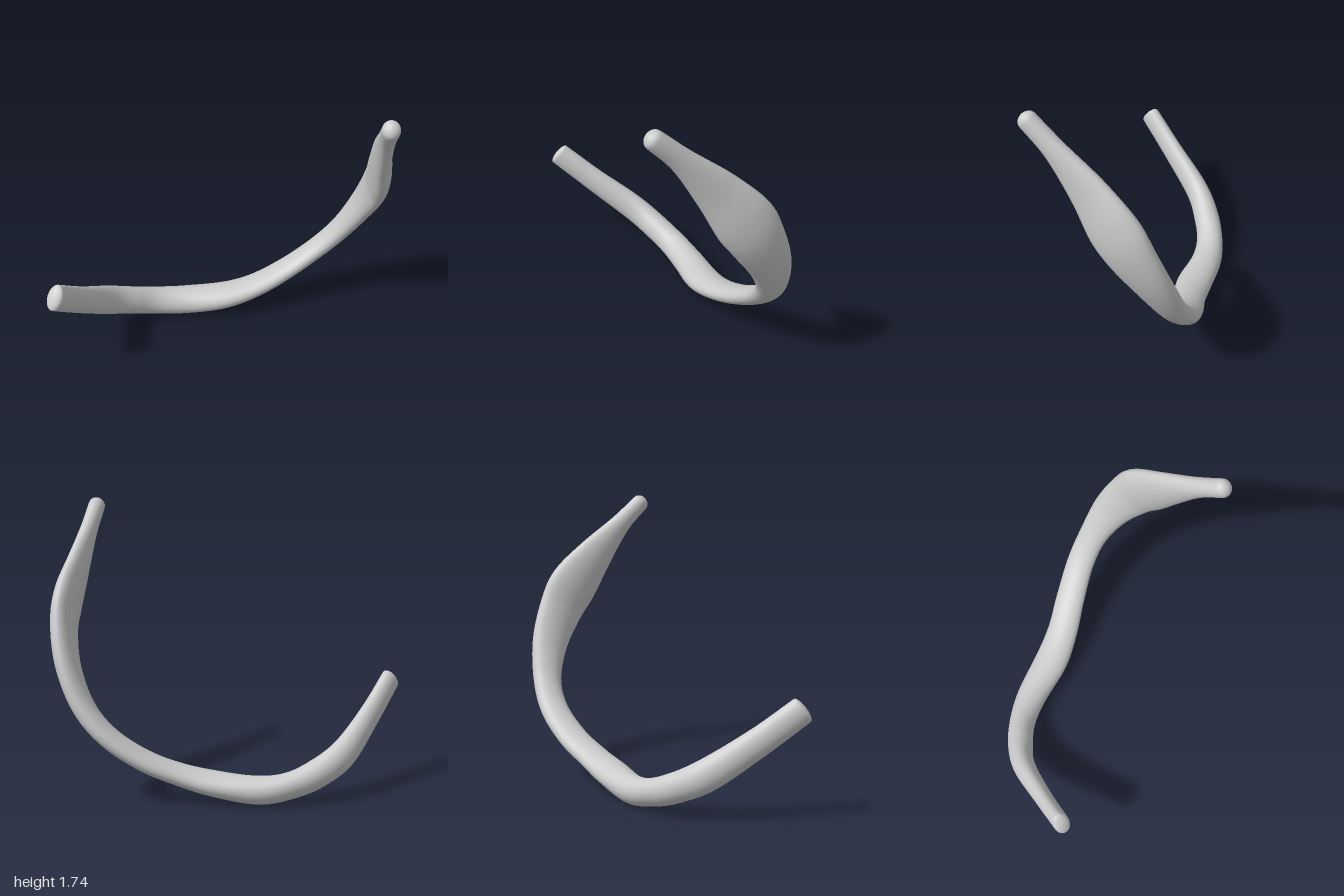
import * as THREE from 'three';

// Stations along the bone: centre, direction of the wide axis, half width / half thickness
const stations = [
  { c: [-0.95, 0.63, 0.44], w: [0, 1, 0], s: [0.078, 0.05] },
  { c: [-0.85, 0.455, 0.235], w: [0, 1, 0], s: [0.082, 0.055] },
  { c: [-0.72, 0.27, 0.0], w: [0, 1, 0], s: [0.092, 0.07] },
  { c: [-0.58, 0.172, -0.125], w: [0, 1, -0.3], s: [0.088, 0.08] },
  { c: [-0.43, 0.112, -0.205], w: [0, 0.6, -0.8], s: [0.088, 0.078] },
  { c: [-0.25, 0.086, -0.25], w: [0, 0.2, -1], s: [0.096, 0.084] },
  { c: [0, 0.113, -0.268], w: [0, 0, -1], s: [0.108, 0.073] },
  { c: [0.2, 0.167, -0.308], w: [0, 0, -1], s: [0.1, 0.062] },
  { c: [0.4, 0.258, -0.372], w: [0, 0, -1], s: [0.095, 0.058] },
  { c: [0.6, 0.4, -0.42], w: [0, 0, -1], s: [0.09, 0.058] },
  { c: [0.75, 0.57, -0.415], w: [0, 0.1, -1], s: [0.092, 0.063] },
  { c: [0.86, 0.79, -0.355], w: [0, 0.3, -1], s: [0.12, 0.067] },
  { c: [0.918, 1.0, -0.255], w: [0, 0.5, -0.85], s: [0.15, 0.07] },
  { c: [0.925, 1.16, -0.16], w: [0, 0.7, -0.7], s: [0.163, 0.07] },
  { c: [0.908, 1.35, -0.015], w: [0, 0.8, -0.6], s: [0.122, 0.058] },
  { c: [0.9, 1.55, 0.165], w: [0, 0.8, -0.6], s: [0.068, 0.05] },
  { c: [0.897, 1.69, 0.31], w: [0, 0.8, -0.6], s: [0.055, 0.051] },
];

const curveThrough = (pts) =>
  new THREE.CatmullRomCurve3(pts.map((p) => new THREE.Vector3(p[0], p[1], p[2] ?? 0)), false, 'catmullrom', 0.5);

function sweptBone() {
  const centre = curveThrough(stations.map((k) => k.c));
  const wide = curveThrough(stations.map((k) => k.w));
  const size = curveThrough(stations.map((k) => k.s));
  const steps = 128, sides = 36, capSteps = 6;

  // Ring list: rounded cap, shaft, rounded cap
  const rings = [];
  for (let i = 0; i <= capSteps; i++) {
    const a = (i / capSteps) * Math.PI / 2;
    rings.push({ t: 0, scale: Math.sin(a), shift: -0.025 * Math.cos(a) });
  }
  for (let i = 1; i < steps; i++) rings.push({ t: i / steps, scale: 1, shift: 0 });
  for (let i = 0; i <= capSteps; i++) {
    const a = (i / capSteps) * Math.PI / 2;
    rings.push({ t: 1, scale: Math.cos(a), shift: 0.045 * Math.sin(a) });
  }

  const positions = [], index = [];
  for (const { t, scale, shift } of rings) {
    const T = centre.getTangent(t);
    const W = wide.getPoint(t);
    W.addScaledVector(T, -W.dot(T)).normalize();
    const N = new THREE.Vector3().crossVectors(T, W);
    const c = centre.getPoint(t).addScaledVector(T, shift);
    const s = size.getPoint(t);
    const r = Math.max(scale, 0.002);
    for (let j = 0; j < sides; j++) {
      const a = (j / sides) * Math.PI * 2;
      const p = c.clone()
        .addScaledVector(W, Math.cos(a) * s.x * r)
        .addScaledVector(N, Math.sin(a) * s.y * r);
      positions.push(p.x, p.y, p.z);
    }
  }
  for (let i = 0; i < rings.length - 1; i++) {
    for (let j = 0; j < sides; j++) {
      const k = (j + 1) % sides;
      const a = i * sides + j, b = i * sides + k;
      index.push(a, b, a + sides, b, b + sides, a + sides);
    }
  }
  const geometry = new THREE.BufferGeometry();
  geometry.setAttribute('position', new THREE.Float32BufferAttribute(positions, 3));
  geometry.setIndex(index);
  geometry.computeVertexNormals();
  return geometry;
}

export function createModel() {
  const group = new THREE.Group();
  group.name = 'rib';
  // Curved bone shaft with rounded ends
  const shaft = new THREE.Mesh(sweptBone(), new THREE.MeshStandardMaterial({ color: 0xcccccc }));
  shaft.name = 'ribShaft';
  group.add(shaft);
  return group;
}
